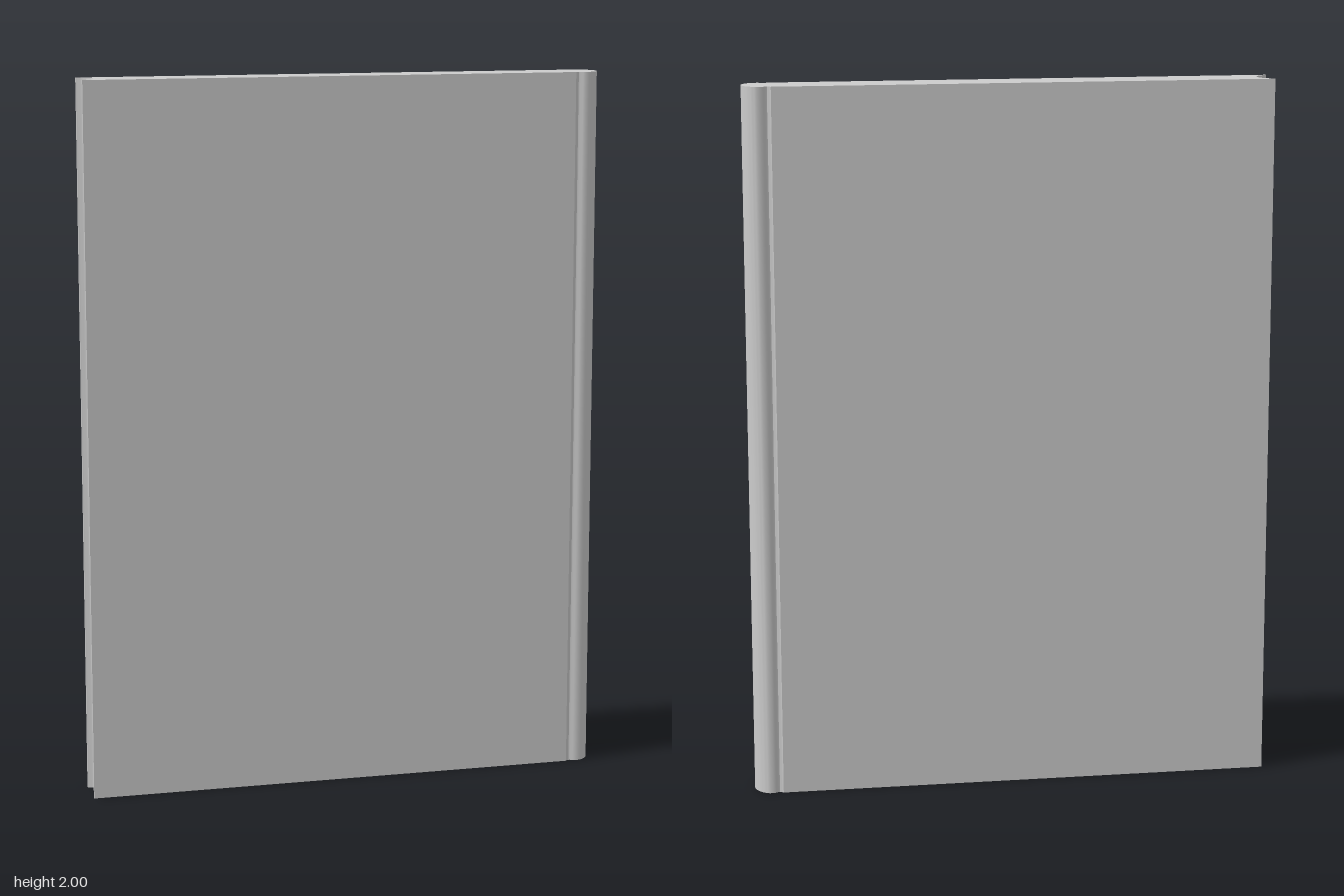
import * as THREE from 'three';
import { toCreasedNormals } from 'three/addons/utils/BufferGeometryUtils.js';

const HEIGHT = 2;
const HALF_WIDTH = 0.735;
const HALF_DEPTH = 0.057;

// Circular arc through (edgeX, ±half) and (tipX, 0), sampled from +half to -half
function arcPoints(edgeX, half, tipX, steps) {
  const sag = tipX - edgeX;
  const r = (half * half + sag * sag) / (2 * sag);
  const cx = tipX - r;
  const a = Math.atan2(half, edgeX - cx);
  return Array.from({ length: steps + 1 }, (_, i) => {
    const t = a - (2 * a * i) / steps;
    return new THREE.Vector2(cx + r * Math.cos(t), r * Math.sin(t));
  });
}

// Plan outline: hollow edge on one side, quirk and rounded nose on the other
function panelShape() {
  const hollow = arcPoints(-HALF_WIDTH, 0.049, -0.697, 24);
  const nose = arcPoints(0.703, 0.055, HALF_WIDTH, 24);
  // Small groove and bead shoulder, from the flat face towards the nose
  const quirk = [
    [0.658, HALF_DEPTH], [0.663, 0.052], [0.668, 0.05], [0.673, 0.051],
    [0.679, 0.055], [0.686, HALF_DEPTH], [0.696, HALF_DEPTH],
  ].map(([x, z]) => new THREE.Vector2(x, z));
  const mirrored = quirk.map((p) => new THREE.Vector2(p.x, -p.y)).reverse();

  return new THREE.Shape([
    new THREE.Vector2(-HALF_WIDTH, HALF_DEPTH),
    ...quirk,
    ...nose,
    ...mirrored,
    new THREE.Vector2(-HALF_WIDTH, -HALF_DEPTH),
    ...hollow.reverse(),
  ]);
}

export function createModel() {
  const group = new THREE.Group();
  group.name = 'doorPanel';

  // Extrude the plan outline upwards
  let geometry = new THREE.ExtrudeGeometry(panelShape(), { depth: HEIGHT, bevelEnabled: false });
  geometry.rotateX(-Math.PI / 2);
  geometry = toCreasedNormals(geometry, Math.PI / 6);

  const panel = new THREE.Mesh(geometry, new THREE.MeshStandardMaterial({ color: 0xcccccc }));
  panel.name = 'panel';
  group.add(panel);
  return group;
}
